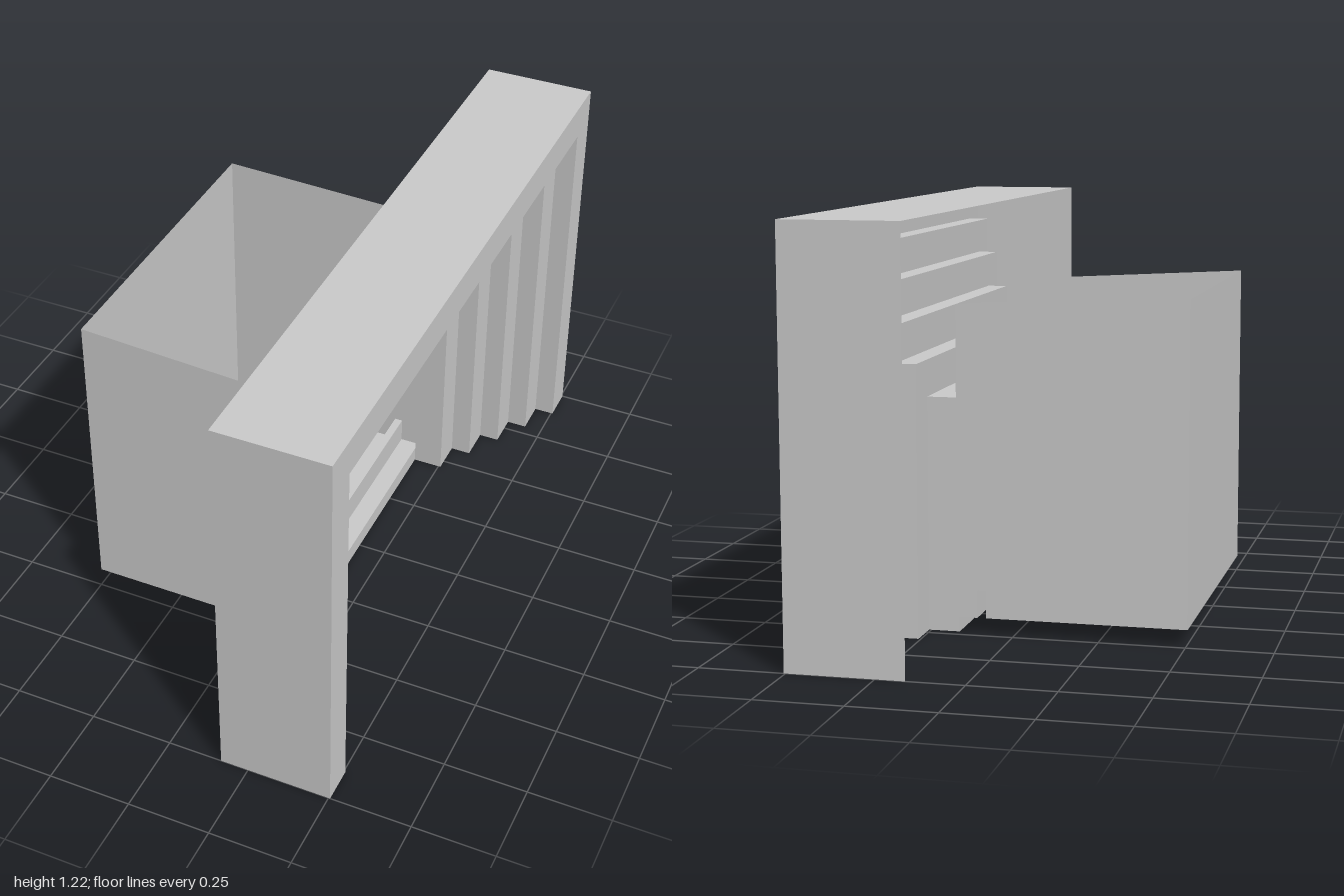
import * as THREE from 'three';

const material = new THREE.MeshStandardMaterial({
  color: 0xcccccc, side: THREE.DoubleSide, flatShading: true,
});

function addMesh(group, name, geometry) {
  const mesh = new THREE.Mesh(geometry, material);
  mesh.name = name;
  group.add(mesh);
  return mesh;
}

// Thin folded sheet joining two paths with the same number of points
function ribbon(a, b) {
  const pos = [];
  for (let i = 0; i < a.length - 1; i++) {
    pos.push(...a[i], ...b[i], ...b[i + 1], ...a[i], ...b[i + 1], ...a[i + 1]);
  }
  const g = new THREE.BufferGeometry();
  g.setAttribute('position', new THREE.Float32BufferAttribute(pos, 3));
  g.computeVertexNormals();
  return g;
}

// Upside-down U around the opening, at depth x
const arch = (x, w, h) => [[x, 0, w], [x, h, w], [x, h, -w], [x, 0, -w]];

export function createModel() {
  const model = new THREE.Group();
  const back = 0.165, front = 0.505;

  // Stepped surround: outer casing, then face bands and returns stepping inward
  const surround = new THREE.Group();
  surround.name = 'steppedSurround';
  model.add(surround);
  addMesh(surround, 'outerCasing', ribbon(arch(back, 1, 1.215), arch(front, 1, 1.215)));
  const steps = 5, pitch = 0.1064, depth = 0.062;
  for (let i = 0; i < steps; i++) {
    const x = front - i * depth;
    const nextX = i === steps - 1 ? back : x - depth;
    const w = 1 - i * pitch, h = 1.215 - i * pitch;
    const inner = arch(x, w - pitch, h - pitch);
    addMesh(surround, 'faceBand' + (i + 1), ribbon(arch(x, w, h), inner));
    addMesh(surround, 'stepReturn' + (i + 1), ribbon(inner, arch(nextX, w - pitch, h - pitch)));
  }

  // Open-topped firebox
  const firebox = new THREE.Group();
  firebox.name = 'firebox';
  model.add(firebox);
  const rear = -0.505, zLeft = 0.485, zRight = -0.493;

  // Floor folded up into a raised lip, ending in a riser down to the ground
  const floor = [
    [rear, 0.05], [0.08, 0.05], [0.08, 0.13], [0.105, 0.13], [0.105, 0.05], [back, 0.05],
  ];
  const at = (path, z) => path.map(([x, y]) => [x, y, z]);
  addMesh(firebox, 'floorWithLip', ribbon(at(floor, zLeft), at(floor, zRight)));
  const riser = [[back, 0.05], [back, 0]];
  addMesh(firebox, 'frontRiser', ribbon(at(riser, 0.47), at(riser, -0.47)));
  const rearEdge = [[rear, 0.05], [rear, 0.98]];
  addMesh(firebox, 'rearWall', ribbon(at(rearEdge, zLeft), at(rearEdge, zRight)));

  // Side walls follow the folded floor and slope down towards the opening
  const walls = [
    ['frontSideWall', zLeft, [[back - 0.003, 0.943]]],
    ['backSideWall', zRight, [[back, 0.952], [0.08, 0.96]]],
  ];
  for (const [name, z, top] of walls) {
    const outline = [...floor, ...top, [rear, 0.98]].map(([x, y]) => new THREE.Vector2(x, y));
    addMesh(firebox, name, new THREE.ShapeGeometry(new THREE.Shape(outline))).position.z = z;
  }
  return model;
}
